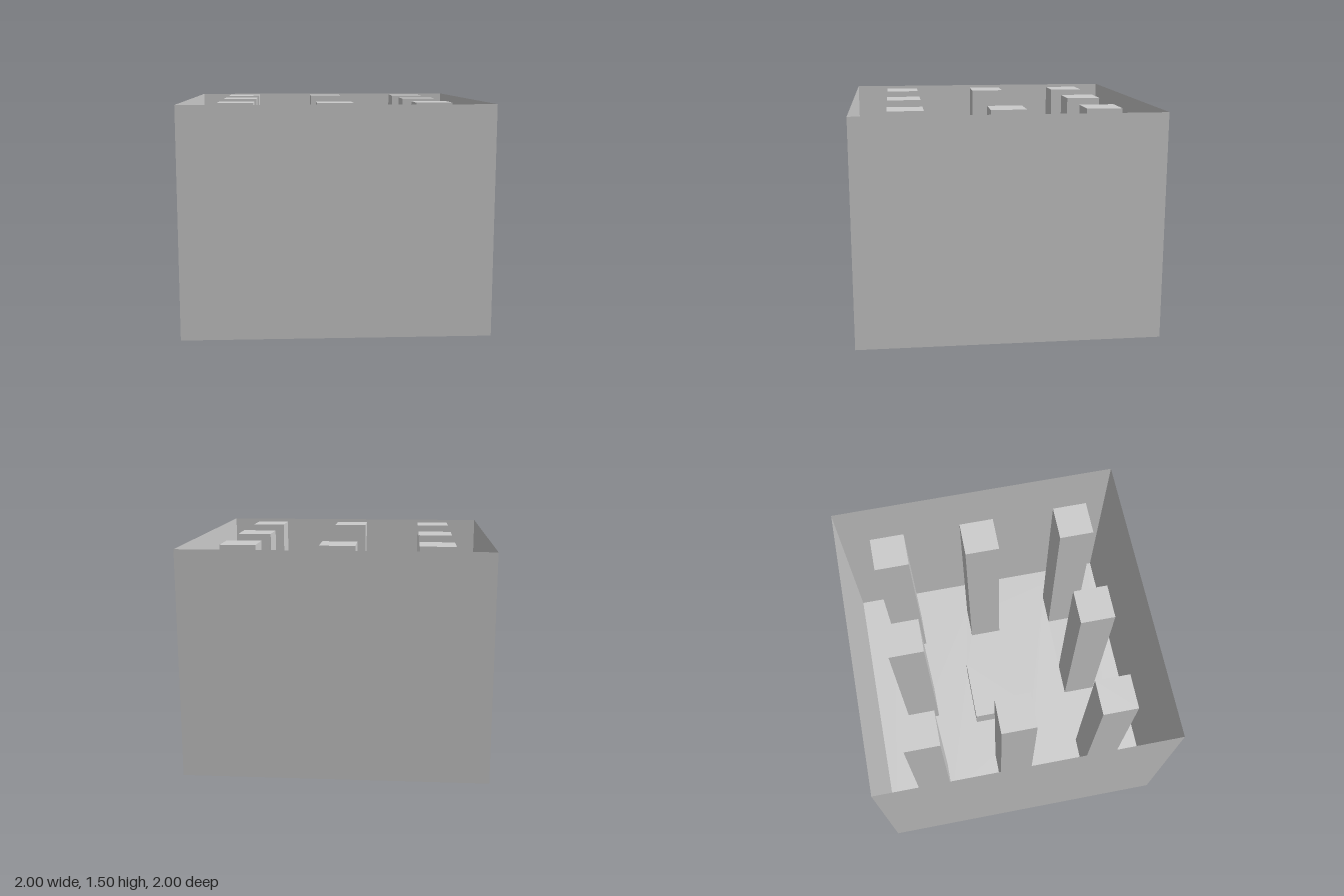
import * as THREE from 'three';

const HEIGHT = 1.497;
const material = new THREE.MeshStandardMaterial({ color: 0xcccccc, flatShading: true, side: THREE.DoubleSide });

// Thin box standing on y = 0, with the listed faces left open (order: +x -x +y -y +z -z)
function openBox(name, x, z, width, height, openFaces) {
  const geometry = new THREE.BoxGeometry(width, height, width);
  const index = Array.from(geometry.index.array);
  geometry.setIndex(index.filter((_, i) => !openFaces.includes(Math.floor(i / 6))));
  const mesh = new THREE.Mesh(geometry, material);
  mesh.name = name;
  mesh.position.set(x, height / 2, z);
  return mesh;
}

function squarePath(path, x, z, size) {
  const h = size / 2;
  path.moveTo(x - h, z - h);
  path.lineTo(x + h, z - h);
  path.lineTo(x + h, z + h);
  path.lineTo(x - h, z + h);
  path.closePath();
  return path;
}

export function createModel() {
  const model = new THREE.Group();
  model.name = 'pillarBox';

  // Outer walls: open at the top and the bottom
  model.add(openBox('outerWalls', 0, 0, 2, HEIGHT, [2, 3]));

  const floor = squarePath(new THREE.Shape(), 0, 0, 2);

  // Hollow raised block, open underneath through a hole in the floor
  const addRaised = (name, x, z, size, height) => {
    model.add(openBox(name, x, z, size, height, [3]));
    floor.holes.push(squarePath(new THREE.Path(), x, z, size));
  };

  // Ring of eight full-height pillars around a low central block
  const step = 0.645;
  for (const i of [-1, 0, 1]) {
    for (const k of [-1, 0, 1]) {
      if (i === 0 && k === 0) addRaised('centralBlock', -0.003, -0.005, 0.455, 0.157);
      else addRaised('pillar', i * step, k === 0 ? -0.018 : k * step, 0.235, HEIGHT);
    }
  }

  // Floor sheet with the openings
  const floorMesh = new THREE.Mesh(new THREE.ShapeGeometry(floor).rotateX(Math.PI / 2), material);
  floorMesh.name = 'floor';
  model.add(floorMesh);

  return model;
}
